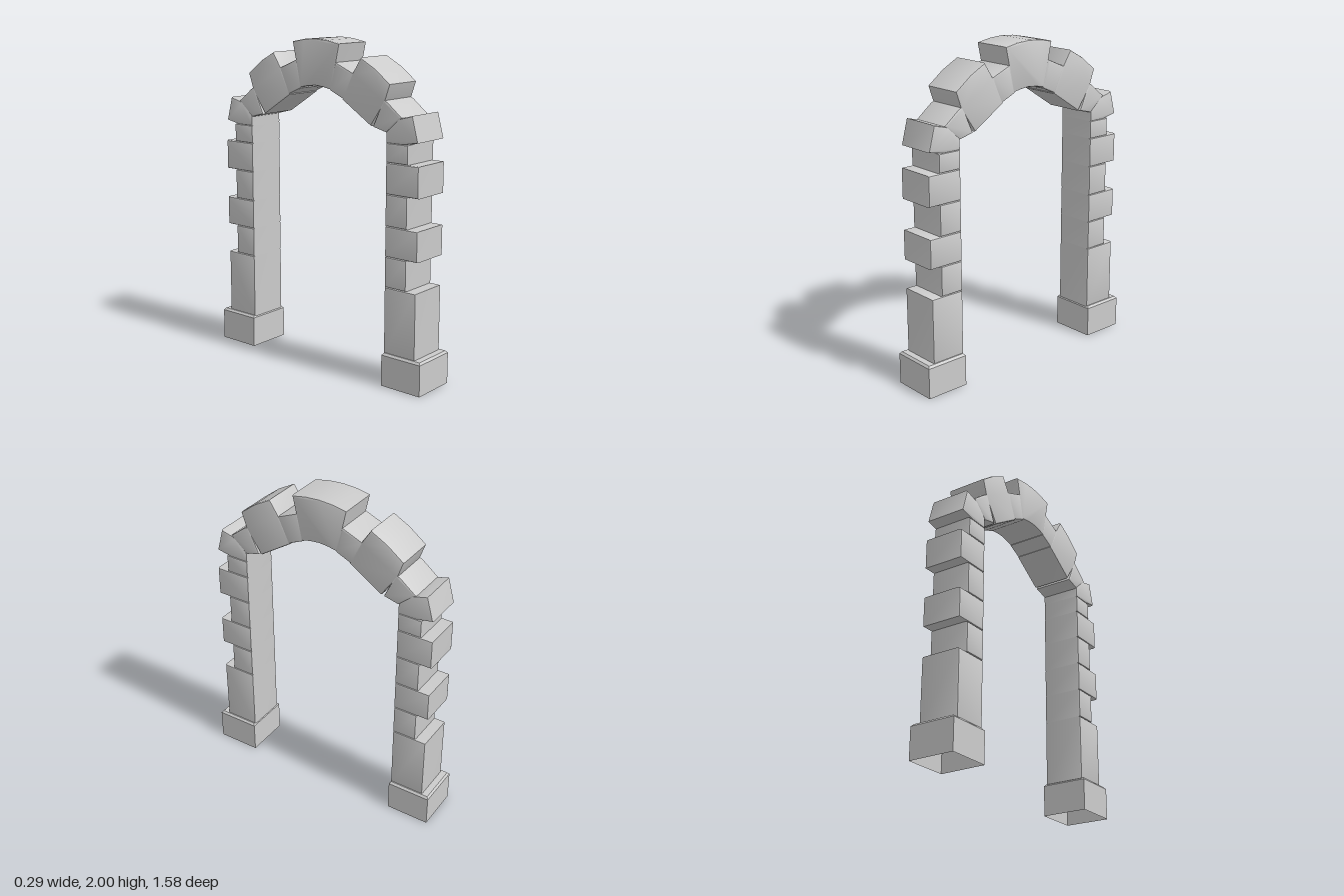
import * as THREE from 'three';
import { toCreasedNormals } from 'three/addons/utils/BufferGeometryUtils.js';

const HALF = 0.128; // half thickness of the arch along x
const material = new THREE.MeshStandardMaterial({ color: 0xcccccc });
const openMaterial = new THREE.MeshStandardMaterial({ color: 0xcccccc, side: THREE.DoubleSide });

// Stone with softened edges, from an outline of [z, y] points
function stone(name, outline, bevel = 0.012) {
  const shape = new THREE.Shape(outline.map(([z, y]) => new THREE.Vector2(z, y)));
  const depth = 2 * (HALF - bevel);
  const geometry = new THREE.ExtrudeGeometry(shape, {
    depth, bevelEnabled: true, bevelThickness: bevel, bevelSize: bevel,
    bevelOffset: -bevel, bevelSegments: 2,
  });
  geometry.translate(0, 0, -depth / 2).rotateY(-Math.PI / 2);
  const mesh = new THREE.Mesh(toCreasedNormals(geometry, 0.6), material);
  mesh.name = name;
  return mesh;
}

const block = (name, z0, z1, y0, y1) =>
  stone(name, [[z0, y0], [z1, y0], [z1, y1], [z0, y1]]);

// Plinth: four walls and a bevelled top, open underneath
function plinth() {
  const profile = [[1, 0], [1, 0.19], [0.92, 0.203], [0, 0.203]]
    .map(([r, y]) => new THREE.Vector2(r * Math.SQRT2, y));
  const geometry = new THREE.LatheGeometry(profile, 4, Math.PI / 4);
  geometry.scale(0.143, 1, 0.137);
  const mesh = new THREE.Mesh(toCreasedNormals(geometry, 0.3), openMaterial);
  mesh.name = 'plinth';
  mesh.position.z = 0.655;
  return mesh;
}

// One pillar with its half of the arch ring, on the +z side
function side(name) {
  const group = new THREE.Group();
  group.name = name;
  group.add(plinth(), block('pillarShaft', 0.52, 0.742, 0.198, 0.6));

  // Alternating narrow and wide courses
  const levels = [0.6, 0.782, 0.962, 1.148, 1.33, 1.442];
  for (let i = 0; i < levels.length - 1; i++) {
    const wide = i % 2 === 1;
    group.add(block(wide ? 'wideCourse' : 'narrowCourse', 0.52, wide ? 0.747 : 0.672,
      levels[i], levels[i + 1]));
  }

  // Voussoirs from the springing towards the crown
  group.add(
    stone('springer', [[0.52, 1.44], [0.64, 1.44], [0.74, 1.46], [0.7, 1.608], [0.6, 1.582], [0.52, 1.505]]),
    stone('lowerVoussoir', [[0.52, 1.498], [0.425, 1.522], [0.5, 1.685], [0.53, 1.67], [0.63, 1.59]]),
    stone('largeVoussoir', [[0.41, 1.525], [0.2, 1.66], [0.275, 1.815], [0.335, 1.907], [0.44, 1.85], [0.545, 1.77], [0.51, 1.67]]),
    stone('upperVoussoir', [[0.212, 1.66], [0.11, 1.705], [0.15, 1.872], [0.285, 1.815]]),
  );
  return group;
}

export function createModel() {
  const model = new THREE.Group();
  model.name = 'stoneArch';
  const front = side('frontSide');
  const back = side('backSide');
  back.rotation.y = Math.PI;

  // Keystone with gently curved top and soffit
  const keystone = stone('keystone', [
    [-0.12, 1.708], [-0.06, 1.72], [0, 1.726], [0.06, 1.72], [0.12, 1.708],
    [0.18, 1.977], [0.09, 1.994], [0, 2], [-0.09, 1.994], [-0.18, 1.977],
  ]);
  model.add(front, back, keystone);
  return model;
}
